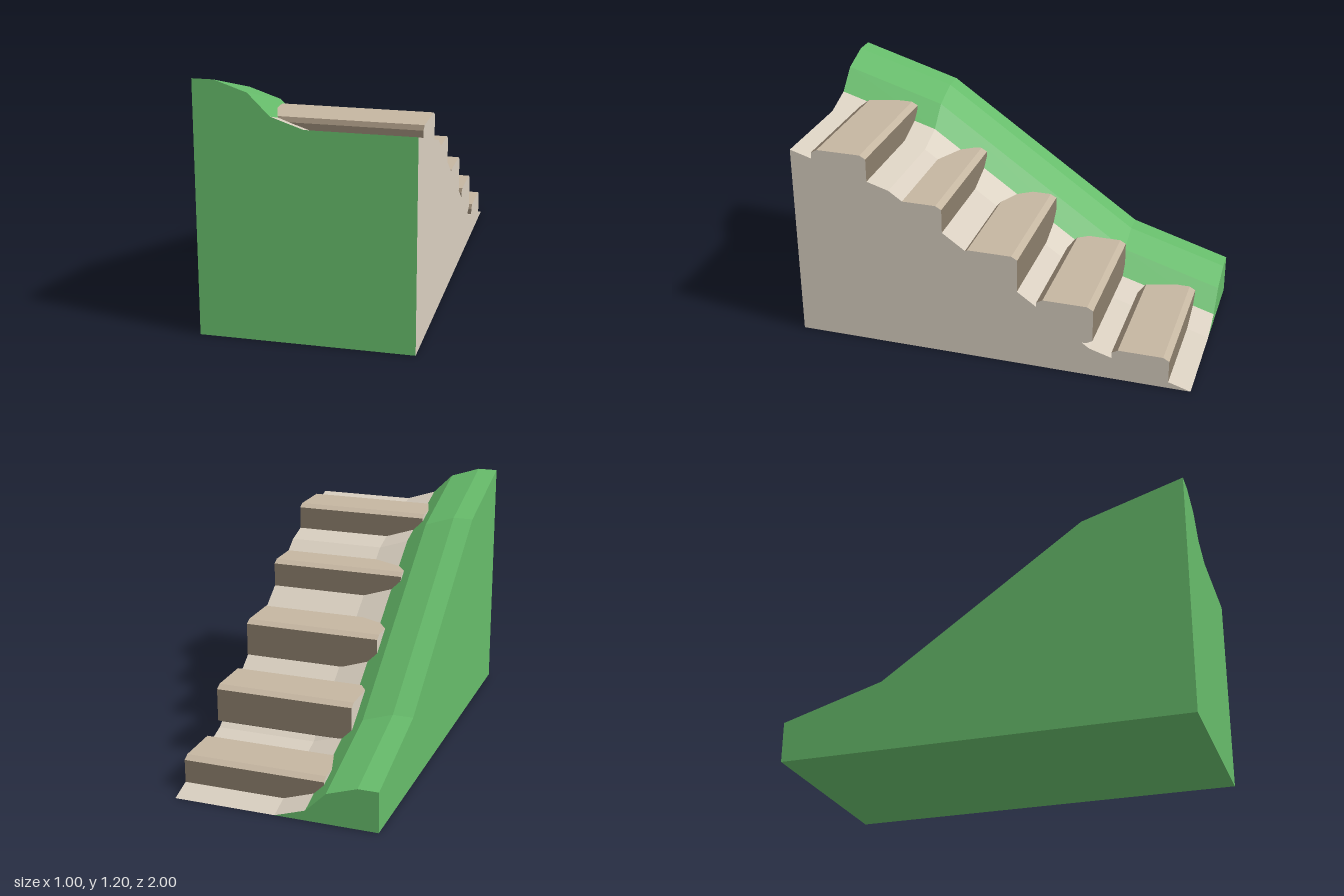
import * as THREE from 'three';

const GREEN = 0x66bb6a, PATH = 0xd8cebf, TREAD = 0xc4b5a0, RISER = 0x8b7d6b;

// Cross-section of the hill: x and height above the path line
const SECTION = [[-0.5, 0.2], [-0.4, 0.2], [-0.25, 0.15], [-0.15, 0.05], [0, 0], [0.5, 0]];
// Path line along the slope: z and height
const SLOPE = [[-1, 0], [-0.5, 0.15], [0.5, 0.85], [1, 1]];

// Flat-shaded mesh from quads, corners counter-clockwise seen from outside
function quadMesh(name, color, quads) {
  const pos = [];
  for (const [a, b, c, d] of quads) pos.push(...a, ...b, ...c, ...a, ...c, ...d);
  const geo = new THREE.BufferGeometry();
  geo.setAttribute('position', new THREE.Float32BufferAttribute(pos, 3));
  geo.computeVertexNormals();
  const mesh = new THREE.Mesh(geo, new THREE.MeshStandardMaterial({ color, flatShading: true }));
  mesh.name = name;
  return mesh;
}

function createHill() {
  const hill = new THREE.Group();
  hill.name = 'hill';
  const bank = [], path = [], sideWall = [], outerWall = [], ends = [];
  const n = SECTION.length - 1;

  for (let j = 0; j < SLOPE.length - 1; j++) {
    const [z0, h0] = SLOPE[j], [z1, h1] = SLOPE[j + 1];
    // Top surface: grassy bank on the right, path on the rest
    for (let i = 0; i < n; i++) {
      const [xa, a] = SECTION[i], [xb, b] = SECTION[i + 1];
      (i < 3 ? bank : path).push([[xa, h1 + a, z1], [xb, h1 + b, z1], [xb, h0 + b, z0], [xa, h0 + a, z0]]);
    }
    // Vertical walls along both sides
    sideWall.push([[0.5, 0, z1], [0.5, 0, z0], [0.5, h0, z0], [0.5, h1, z1]]);
    outerWall.push([[-0.5, 0, z0], [-0.5, 0, z1], [-0.5, h1 + 0.2, z1], [-0.5, h0 + 0.2, z0]]);
  }
  // Front and back ends
  for (let i = 0; i < n; i++) {
    const [xa, a] = SECTION[i], [xb, b] = SECTION[i + 1];
    ends.push([[xa, 0, 1], [xb, 0, 1], [xb, 1 + b, 1], [xa, 1 + a, 1]]);
    if (a + b > 0) ends.push([[xb, 0, -1], [xa, 0, -1], [xa, a, -1], [xb, b, -1]]);
  }
  const base = [[[-0.5, 0, -1], [0.5, 0, -1], [0.5, 0, 1], [-0.5, 0, 1]]];

  hill.add(
    quadMesh('grassBank', GREEN, bank),
    quadMesh('path', PATH, path),
    quadMesh('pathSideWall', PATH, sideWall),
    quadMesh('grassOuterWall', GREEN, outerWall),
    quadMesh('grassEnds', GREEN, ends),
    quadMesh('base', GREEN, base)
  );
  return hill;
}

// Slab with bevelled long edges
function createStep(index) {
  const step = new THREE.Group();
  step.name = `step${index + 1}`;
  const z = (index - 2) * 0.375, top = 0.59 + (index - 2) * 0.213;
  const bottom = Math.max(0.005, top - 0.2);
  const d = 0.14, e = 0.11, c = 0.017, x0 = -0.2, x1 = 0.5;
  // Outline in z and y, from the back bevel over the top to the front and round
  const outline = [
    [z - d, top - c], [z - e, top], [z + e, top], [z + d, top - c],
    [z + d, bottom + c], [z + e, bottom], [z - e, bottom], [z - d, bottom + c]
  ];
  const tread = [], riser = [], ends = [];
  outline.forEach(([za, ya], i) => {
    const [zb, yb] = outline[(i + 1) % outline.length];
    (i < 2 ? tread : riser).push([[x0, yb, zb], [x1, yb, zb], [x1, ya, za], [x0, ya, za]]);
  });
  // End caps, each split into three bands
  for (let i = 0; i < 3; i++) {
    const [a, b, p, q] = [outline[i], outline[i + 1], outline[6 - i], outline[7 - i]];
    const cap = [q, p, b, a];
    ends.push(cap.map(([cz, cy]) => [x0, cy, cz]));
    ends.push(cap.reverse().map(([cz, cy]) => [x1, cy, cz]));
  }
  step.add(
    quadMesh('tread', TREAD, tread),
    quadMesh('riser', RISER, riser),
    quadMesh('stepEnds', PATH, ends)
  );
  return step;
}

export function createModel() {
  const model = new THREE.Group();
  model.name = 'hillsideStairs';
  model.add(createHill());
  for (let i = 0; i < 5; i++) model.add(createStep(i));
  return model;
}
